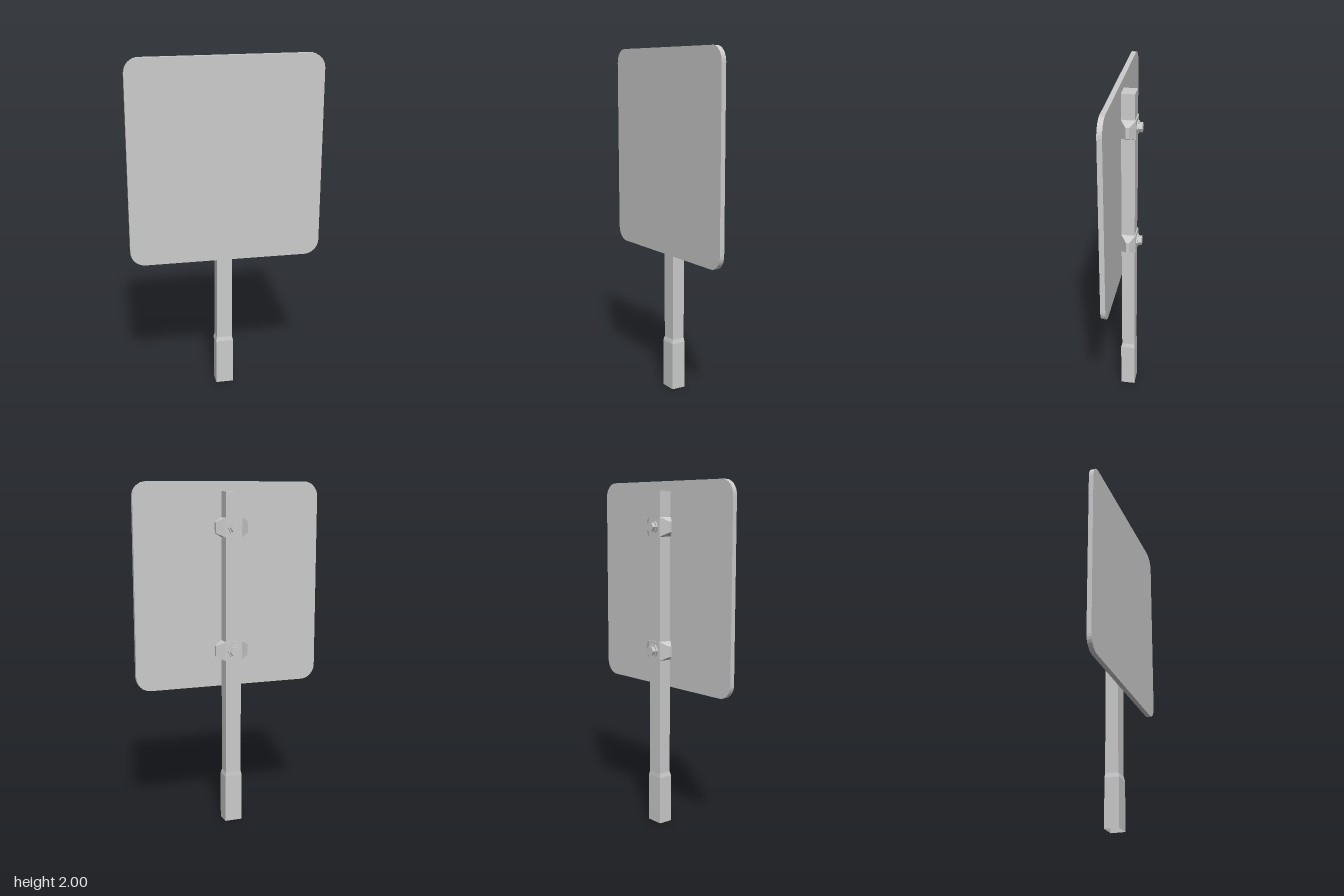
import * as THREE from 'three';

const grey = new THREE.MeshStandardMaterial({ color: 0xcccccc, flatShading: true });
const greyOpen = new THREE.MeshStandardMaterial({ color: 0xcccccc, flatShading: true, side: THREE.DoubleSide });
const CX = -0.005; // post axis

// Joins four-cornered rings (counter-clockwise seen from the end) into a flat-sided solid
function loft(rings, capStart, capEnd) {
  const pos = [];
  const quad = (a, b, c, d) => [a, b, c, a, c, d].forEach((p) => pos.push(...p));
  for (let r = 0; r < rings.length - 1; r++) {
    for (let i = 0; i < 4; i++) {
      const j = (i + 1) % 4;
      quad(rings[r][i], rings[r][j], rings[r + 1][j], rings[r + 1][i]);
    }
  }
  if (capStart) quad(...[...rings[0]].reverse());
  if (capEnd) quad(...rings[rings.length - 1]);
  const geo = new THREE.BufferGeometry();
  geo.setAttribute('position', new THREE.Float32BufferAttribute(pos, 3));
  geo.computeVertexNormals();
  return geo;
}

function add(parent, name, geo, material = grey) {
  const mesh = new THREE.Mesh(geo, material);
  mesh.name = name;
  parent.add(mesh);
  return mesh;
}

// Flat panel with rounded corners
function panelGeometry() {
  const x = 0.555, y0 = 0.82, y1 = 2, r = 0.085;
  const s = new THREE.Shape();
  s.absarc(x - r, y0 + r, r, -Math.PI / 2, 0);
  s.absarc(x - r, y1 - r, r, 0, Math.PI / 2);
  s.absarc(-x + r, y1 - r, r, Math.PI / 2, Math.PI);
  s.absarc(-x + r, y0 + r, r, Math.PI, Math.PI * 1.5);
  return new THREE.ExtrudeGeometry(s, { depth: 0.028, bevelEnabled: false, curveSegments: 4 })
    .translate(0, 0, 0.042);
}

// Square post with a thicker foot, open underneath
function postGeometry() {
  const ring = (y, hw, z0, z1) => [
    [CX - hw, y, z1], [CX + hw, y, z1], [CX + hw, y, z0], [CX - hw, y, z0],
  ];
  return loft([
    ring(0, 0.052, -0.036, 0.048),
    ring(0.28, 0.052, -0.036, 0.048),
    ring(0.305, 0.046, -0.034, 0.042),
    ring(1.945, 0.046, -0.034, 0.042),
  ], false, true);
}

// Clamp block tapering to a small tip on each side
function clampGeometry() {
  const ring = (x, hh, z0, z1) => [
    [x, -hh, z1], [x, -hh, z0], [x, hh, z0], [x, hh, z1],
  ];
  return loft([
    ring(-0.097, 0.031, -0.009, 0.009),
    ring(-0.05, 0.055, -0.04, 0.042),
    ring(0.05, 0.055, -0.04, 0.042),
    ring(0.097, 0.031, -0.009, 0.009),
  ], true, true);
}

export function createModel() {
  const model = new THREE.Group();
  model.name = 'signPost';
  add(model, 'panel', panelGeometry());
  add(model, 'post', postGeometry(), greyOpen);

  // Two clamps, each with a washer and a hexagonal bolt head at the back
  const clampGeo = clampGeometry();
  const hex = (r, depth) => new THREE.CylinderGeometry(r, r, depth, 6)
    .rotateY(Math.PI / 6).rotateX(Math.PI / 2);
  const washerGeo = hex(0.038, 0.01);
  const boltGeo = hex(0.028, 0.021);
  for (const [name, y] of [['lowerClamp', 1.037], ['upperClamp', 1.745]]) {
    const clamp = new THREE.Group();
    clamp.name = name;
    clamp.position.set(CX, y, 0);
    add(clamp, 'clampBlock', clampGeo);
    add(clamp, 'washer', washerGeo).position.z = -0.044;
    add(clamp, 'boltHead', boltGeo).position.z = -0.0595;
    model.add(clamp);
  }
  return model;
}
